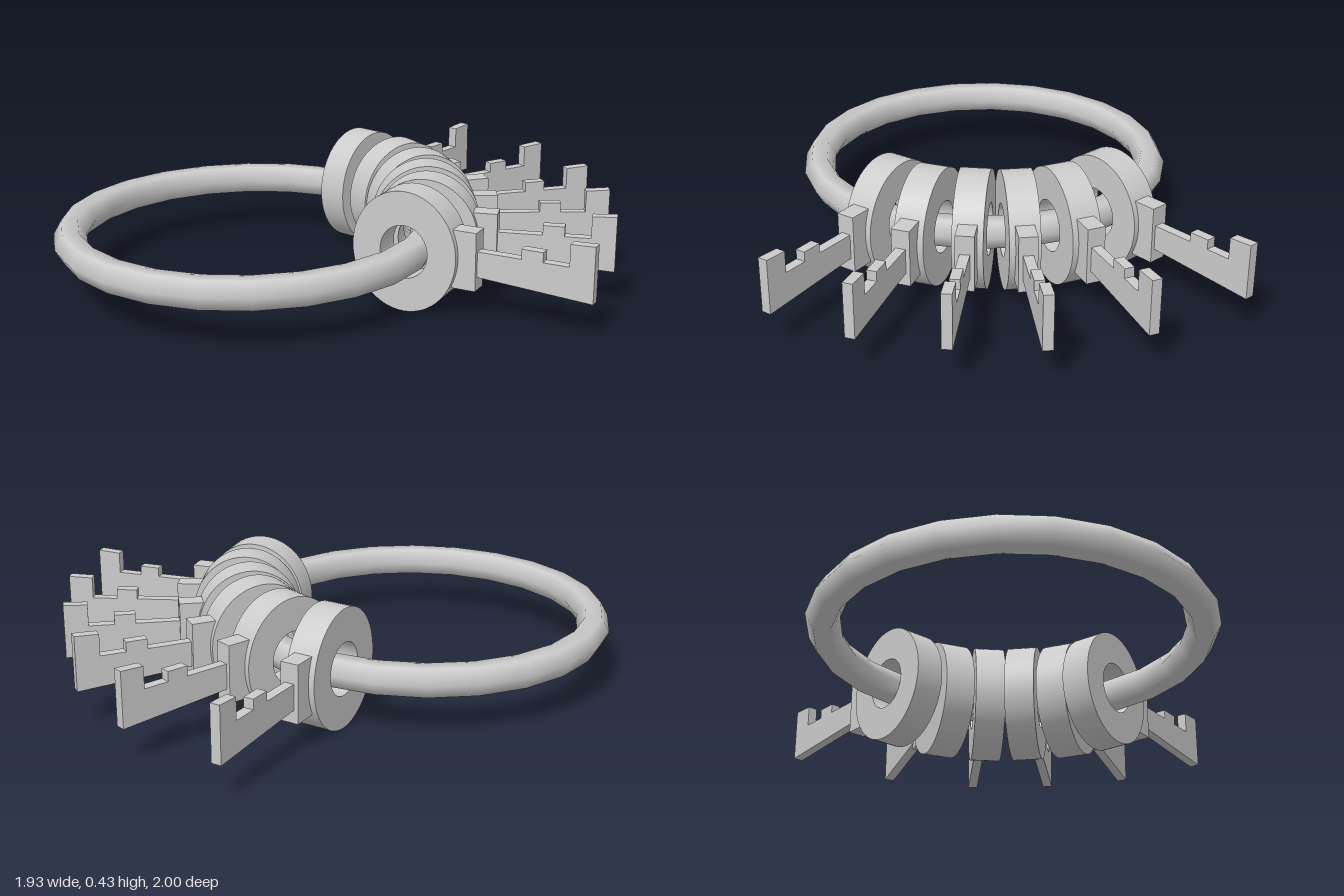
import * as THREE from 'three';
import { toCreasedNormals } from 'three/addons/utils/BufferGeometryUtils.js';

const material = new THREE.MeshStandardMaterial({ color: 0xcccccc });

// Extrude a shape, centred on its thickness, with smooth curves and sharp edges
function plate(shape, depth) {
  const geo = new THREE.ExtrudeGeometry(shape, { depth, bevelEnabled: false, curveSegments: 32 });
  geo.translate(0, 0, -depth / 2);
  return toCreasedNormals(geo, 0.6);
}

function addMesh(parent, name, geometry) {
  const mesh = new THREE.Mesh(geometry, material);
  mesh.name = name;
  parent.add(mesh);
  return mesh;
}

export function createModel() {
  const group = new THREE.Group();
  group.name = 'keyRing';

  // Big carrying ring, hexagonal in section
  const ringGeo = new THREE.TorusGeometry(0.636, 0.058, 6, 24);
  ringGeo.rotateX(Math.PI / 2);
  addMesh(group, 'ring', ringGeo).position.set(-0.28, 0.198, 0.302);

  // Key head: thick disc with a round hole (local +x points to the key's tip)
  const head = new THREE.Shape();
  head.absellipse(0, 0, 0.192, 0.214, 0, Math.PI * 2, false);
  const hole = new THREE.Path();
  hole.absellipse(0, 0, 0.088, 0.094, 0, Math.PI * 2, true);
  head.holes.push(hole);
  const headGeo = plate(head, 0.108);

  // Collar block between head and blade
  const collarGeo = new THREE.BoxGeometry(0.085, 0.206, 0.066);
  collarGeo.translate(0.2125, -0.004, 0);

  // Thin blade, widening to the tip, with a small tooth and a tall end bit
  const blade = new THREE.Shape([
    [0.22, -0.058], [0.66, -0.086], [0.66, 0.112], [0.575, 0.108],
    [0.575, 0.03], [0.485, 0.03], [0.485, 0.065], [0.41, 0.065],
    [0.41, 0.03], [0.22, 0.03],
  ].map(([x, y]) => new THREE.Vector2(x, y)));
  const bladeGeo = plate(blade, 0.036);

  // Six keys fanned along the ring: x, z, angle from the back in degrees
  const keys = [
    [-0.284, -0.34, 0], [-0.088, -0.322, 18.7], [0.062, -0.25, 34.8],
    [0.168, -0.146, 49], [0.265, -0.02, 62.4], [0.312, 0.128, 77],
  ];
  keys.forEach(([x, z, angle], i) => {
    const key = new THREE.Group();
    key.name = `key${i + 1}`;
    addMesh(key, 'keyHead', headGeo);
    addMesh(key, 'keyCollar', collarGeo);
    addMesh(key, 'keyBlade', bladeGeo);
    key.position.set(x, 0.214, z);
    key.rotation.y = THREE.MathUtils.degToRad(90 - angle);
    group.add(key);
  });

  return group;
}
